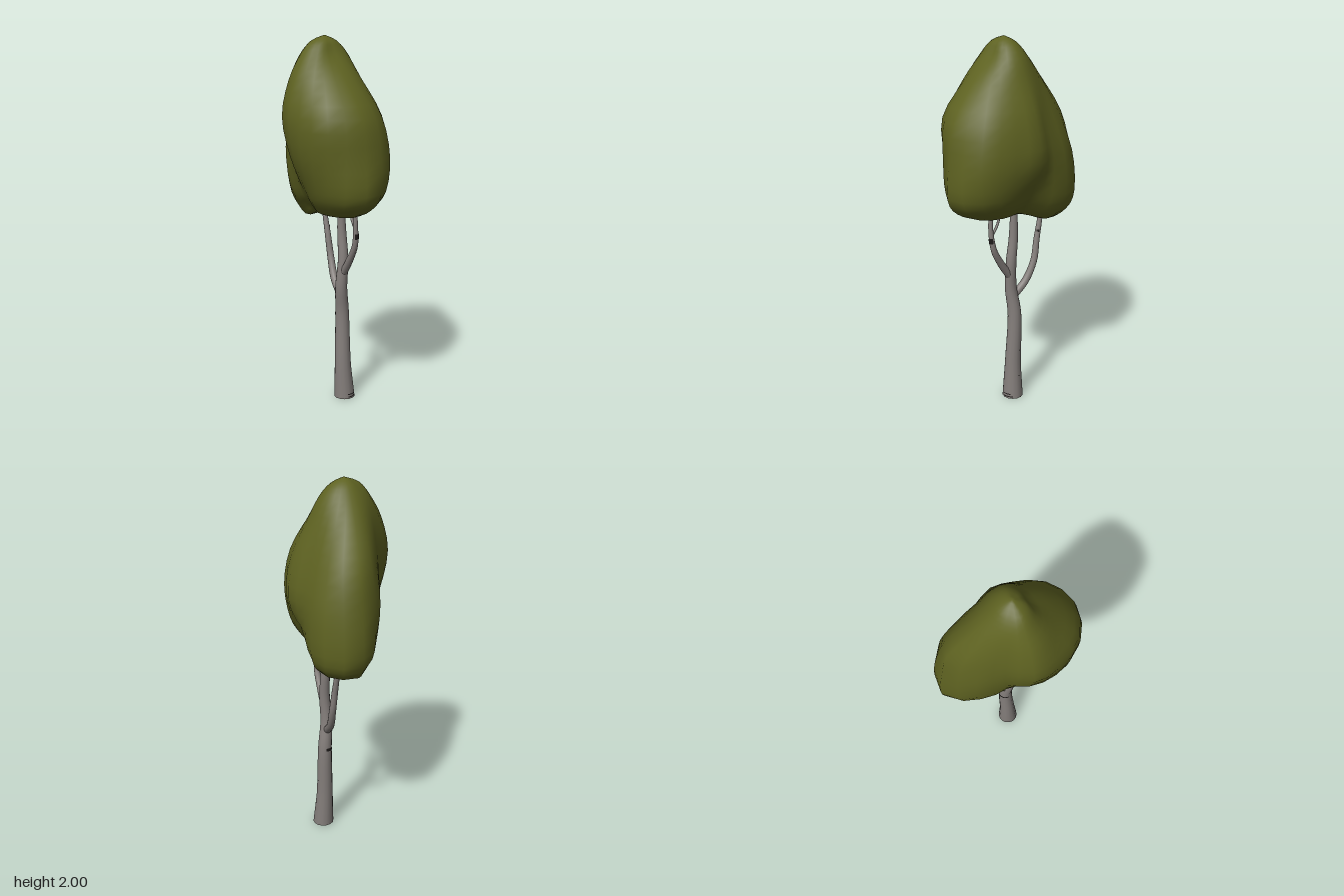
import * as THREE from 'three';
import { mergeVertices } from 'three/addons/utils/BufferGeometryUtils.js';

const paint = (name, color, side = THREE.FrontSide) => {
  const m = new THREE.MeshStandardMaterial({ color, side });
  m.name = name;
  return m;
};

// Cubic blend through four neighbouring values
const cubic = (a, b, c, d, t) =>
  b + 0.5 * t * (c - a + t * (2 * a - 5 * b + 4 * c - d + t * (3 * (b - c) + d - a)));

// Crown levels from top to bottom: height, centre x, then radii every
// 30 degrees from +z round through +x, -z and -x
const SPOKES = 12;
const tip = (y, x) => [y, x, ...Array(SPOKES).fill(0)];
const LEVELS = [
  tip(2.0, -0.03),
  [1.97, -0.03, 0.05, 0.055, 0.06, 0.07, 0.065, 0.06, 0.06, 0.06, 0.06, 0.08, 0.07, 0.06],
  [1.90, -0.03, 0.09, 0.10, 0.12, 0.13, 0.125, 0.12, 0.12, 0.115, 0.12, 0.14, 0.13, 0.11],
  [1.78, -0.02, 0.21, 0.20, 0.18, 0.175, 0.17, 0.19, 0.21, 0.18, 0.17, 0.215, 0.215, 0.21],
  [1.60, 0, 0.345, 0.31, 0.25, 0.235, 0.21, 0.27, 0.325, 0.25, 0.21, 0.275, 0.29, 0.335],
  [1.40, 0, 0.375, 0.36, 0.28, 0.27, 0.255, 0.345, 0.365, 0.28, 0.20, 0.235, 0.275, 0.33],
  [1.22, 0, 0.388, 0.34, 0.24, 0.20, 0.25, 0.365, 0.388, 0.25, 0.16, 0.16, 0.205, 0.29],
  [1.13, 0, 0.33, 0.265, 0.18, 0.14, 0.20, 0.32, 0.35, 0.15, 0.11, 0.11, 0.155, 0.225],
  [1.08, 0, 0.20, 0.16, 0.10, 0.08, 0.13, 0.21, 0.22, 0.08, 0.05, 0.06, 0.09, 0.14],
  tip(1.11, 0.02),
];

function crownGeometry(sides = 24, steps = 3) {
  const pos = [], index = [];
  const last = LEVELS.length - 1;
  const rows = last * steps;
  const row = (i) => LEVELS[Math.min(last, Math.max(0, i))];
  const { smoothstep } = THREE.MathUtils;
  for (let i = 0; i <= rows; i++) {
    const k = Math.min(last - 1, Math.floor(i / steps));
    const t = i / steps - k;
    const level = row(k).map((v, n) => cubic(row(k - 1)[n], v, row(k + 1)[n], row(k + 2)[n], t));
    const radii = level.slice(2);
    for (let j = 0; j <= sides; j++) {
      const u = ((j % sides) / sides) * SPOKES, q = Math.floor(u);
      const at = (n) => radii[(n + SPOKES) % SPOKES];
      const r = Math.max(0, cubic(at(q - 1), at(q), at(q + 1), at(q + 2), u - q));
      const a = (u / SPOKES) * Math.PI * 2;
      const z = Math.cos(a) * r;
      // The rear lobe hangs a little lower
      const hang = 0.06 * smoothstep(-z, 0, 0.2) * smoothstep(-level[0], -1.4, -1.1);
      pos.push(level[1] + Math.sin(a) * r, level[0] - hang, z);
    }
  }
  for (let i = 0; i < rows; i++) {
    for (let j = 0; j < sides; j++) {
      const a = i * (sides + 1) + j, b = a + 1, c = a + sides + 1, d = c + 1;
      if (i > 0) index.push(a, c, b);
      if (i < rows - 1) index.push(b, c, d);
    }
  }
  let g = new THREE.BufferGeometry();
  g.setAttribute('position', new THREE.Float32BufferAttribute(pos, 3));
  g.setIndex(index);
  g = mergeVertices(g, 1e-5);
  g.computeVertexNormals();
  return g;
}

// Tapered limb through points [x, y, z, radius]
function limb(points, segments = 20, sides = 12) {
  const curve = new THREE.CatmullRomCurve3(points.map((p) => new THREE.Vector3(p[0], p[1], p[2])));
  const radiusAt = (y) => {
    let i = 0;
    while (i < points.length - 2 && points[i + 1][1] < y) i++;
    const [a, b] = [points[i], points[i + 1]];
    return THREE.MathUtils.lerp(a[3], b[3], THREE.MathUtils.clamp((y - a[1]) / (b[1] - a[1]), 0, 1));
  };
  const geometry = new THREE.TubeGeometry(curve, segments, 1, sides);
  const pos = geometry.attributes.position, v = new THREE.Vector3();
  for (let i = 0; i < pos.count; i++) {
    const p = curve.getPointAt(Math.floor(i / (sides + 1)) / segments);
    v.fromBufferAttribute(pos, i).sub(p).multiplyScalar(radiusAt(p.y)).add(p);
    pos.setXYZ(i, v.x, p.y === 0 ? 0 : Math.max(0, v.y), v.z);
  }
  return { geometry, curve, radiusAt };
}

export function createModel() {
  const leaf = paint('olive leaf', 0x5e6221);
  const bark = paint('grey bark', 0x86807d, THREE.DoubleSide);
  const dark = paint('dark bark mark', 0x1e1b1a);
  const model = new THREE.Group();
  model.name = 'tree';
  const add = (name, geometry, material) => {
    const mesh = new THREE.Mesh(geometry, material);
    mesh.name = name;
    model.add(mesh);
    return mesh;
  };

  add('crown', crownGeometry(), leaf);

  // Trunk (open at the foot) and limbs, running up into the crown
  const trunk = limb([
    [0.081, 0, 0.027, 0.058], [0.074, 0.2, 0.02, 0.045], [0.074, 0.5, 0.01, 0.038],
    [0.06, 0.65, 0.024, 0.033], [0.068, 0.8, 0.03, 0.029], [0.068, 0.95, 0.014, 0.025],
    [0.065, 1.1, 0.01, 0.019], [0.06, 1.2, 0.01, 0.014],
  ], 32, 14);
  const front = limb([
    [0.065, 0.72, 0.03, 0.022], [0.068, 0.81, 0.095, 0.02], [0.072, 0.91, 0.15, 0.016],
    [0.066, 1.02, 0.165, 0.013], [0.062, 1.13, 0.16, 0.011],
  ]);
  const rear = limb([
    [0.062, 0.6, 0.01, 0.022], [0.068, 0.67, -0.07, 0.021], [0.075, 0.78, -0.125, 0.019],
    [0.07, 0.9, -0.148, 0.017], [0.065, 1.02, -0.175, 0.014], [0.06, 1.1, -0.19, 0.012],
  ]);
  const twig = limb([
    [0.07, 0.99, 0.16, 0.007], [0.068, 1.05, 0.12, 0.007], [0.065, 1.12, 0.1, 0.006],
  ], 8, 8);
  add('trunk', trunk.geometry, bark);
  add('frontBranch', front.geometry, bark);
  add('rearBranch', rear.geometry, bark);
  add('twig', twig.geometry, bark);

  // Thin dark scars: limb, position along it, facing angle, arc, height
  const marks = [
    [trunk, 0.008, 0.4, 1.0, 0.006], [trunk, 0.02, 0.25, 0.8, 0.006],
    [trunk, 0.24, 1.75, 0.2, 0.006], [trunk, 0.11, 1.65, 0.2, 0.006],
    [trunk, 0.41, 3.9, 1.7, 0.018], [trunk, 0.82, 3.9, 1.5, 0.016],
    [front, 0.63, 0.3, 2.2, 0.03], [rear, 0.72, 0.9, 0.9, 0.012],
  ];
  for (const [host, t, angle, arc, height] of marks) {
    const p = host.curve.getPointAt(t), r = host.radiusAt(p.y) + 0.002;
    const scar = add('barkMark', new THREE.CylinderGeometry(r, r, height, 6, 1, true, angle - arc / 2, arc), dark);
    scar.position.copy(p);
    scar.quaternion.setFromUnitVectors(new THREE.Vector3(0, 1, 0), host.curve.getTangentAt(t));
  }
  return model;
}
